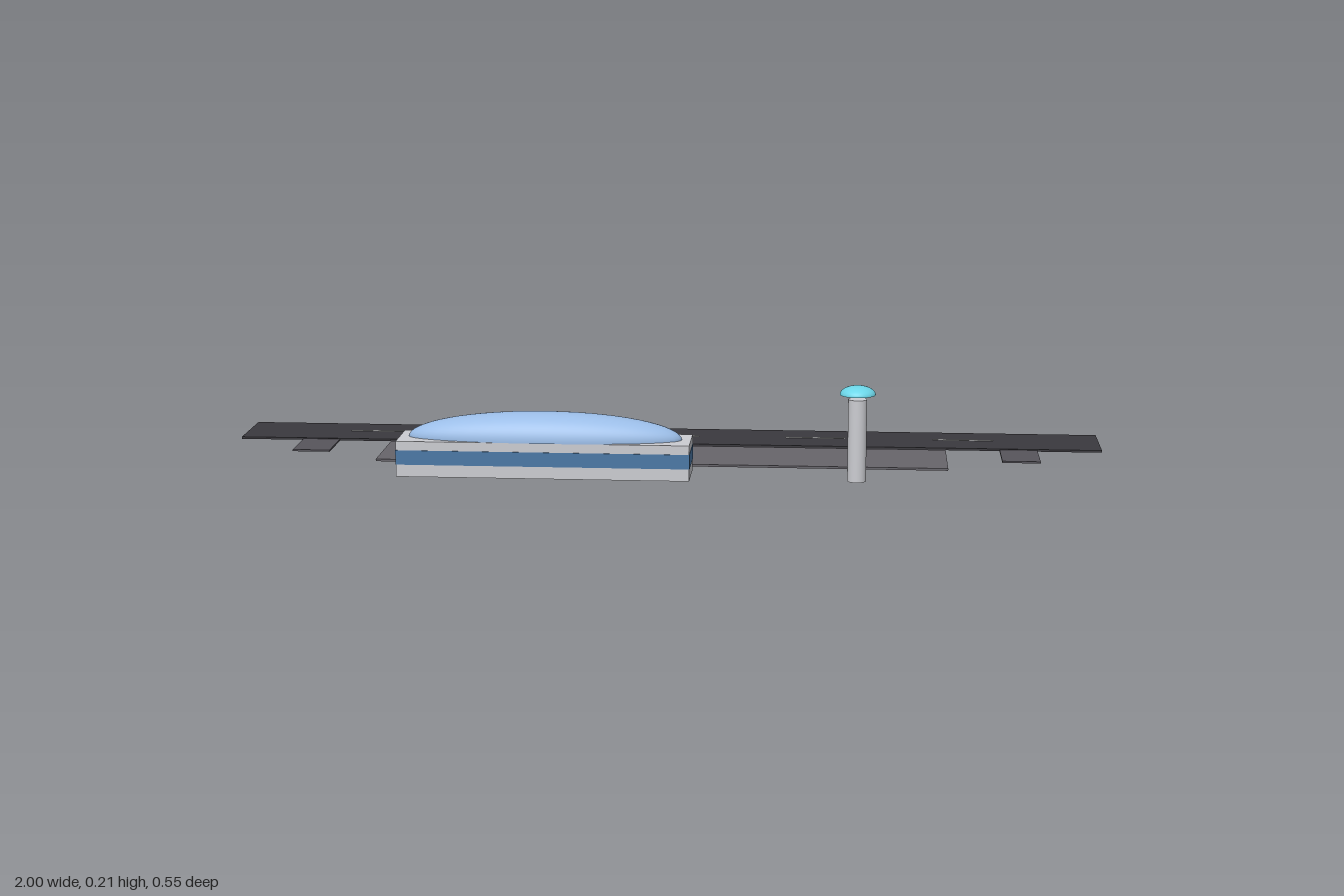
import * as THREE from 'three';

export function createModel() {
  const model = new THREE.Group();
  const paint = (color, side = THREE.FrontSide) => new THREE.MeshStandardMaterial({ color, side });
  const asphalt = paint(0x3a393e);
  const concrete = paint(0x67656b);
  const taxiPaving = paint(0x57555c);
  const white = paint(0xf2f2f2);
  const wall = paint(0xcccdd2);
  const glass = paint(0x4a78a6);
  const roofGlass = paint(0x9abce6, THREE.DoubleSide);
  const cabGlass = paint(0x6cd6e8, THREE.DoubleSide);

  const add = (name, geometry, material, x, y, z) => {
    const mesh = new THREE.Mesh(geometry, material);
    mesh.name = name;
    mesh.position.set(x, y, z);
    model.add(mesh);
    return mesh;
  };
  // box standing on height y
  const slab = (name, material, w, h, d, x, y, z) =>
    add(name, new THREE.BoxGeometry(w, h, d), material, x, y + h / 2, z);
  // upper half of an ellipsoid, its rim at height y
  const dome = (name, material, rx, ry, rz, x, y, z) => {
    const geometry = new THREE.SphereGeometry(1, 40, 16, 0, Math.PI * 2, 0, Math.PI / 2);
    return add(name, geometry.scale(rx, ry, rz), material, x, y, z);
  };

  // runway with centre line dashes
  slab('runway', asphalt, 2, 0.005, 0.17, 0, 0.002, -0.192);
  for (let i = -2; i <= 2; i++) {
    slab('runwayDash', white, 0.14, 0.001, 0.007, i * 0.343, 0.007, -0.196);
  }

  // taxiways reaching under the runway, and the apron
  for (const side of [-1, 1]) {
    slab('taxiway', taxiPaving, 0.086, 0.004, 0.21, side * 0.81, 0.001, -0.092);
  }
  slab('apron', concrete, 1.286, 0.005, 0.193, 0, 0.001, 0.006);

  // terminal: walls, window band and long domed roof
  slab('terminalWalls', wall, 0.643, 0.079, 0.121, -0.244, 0.006, 0.213);
  slab('terminalWindows', glass, 0.645, 0.032, 0.123, -0.244, 0.033, 0.213);
  dome('terminalRoof', roofGlass, 0.302, 0.059, 0.064, -0.244, 0.085, 0.213);

  // control tower
  add('towerShaft', new THREE.CylinderGeometry(0.0205, 0.0205, 0.182, 32), wall, 0.44, 0.091, 0.213);
  dome('towerCap', cabGlass, 0.039, 0.02, 0.039, 0.44, 0.192, 0.213);

  return model;
}
